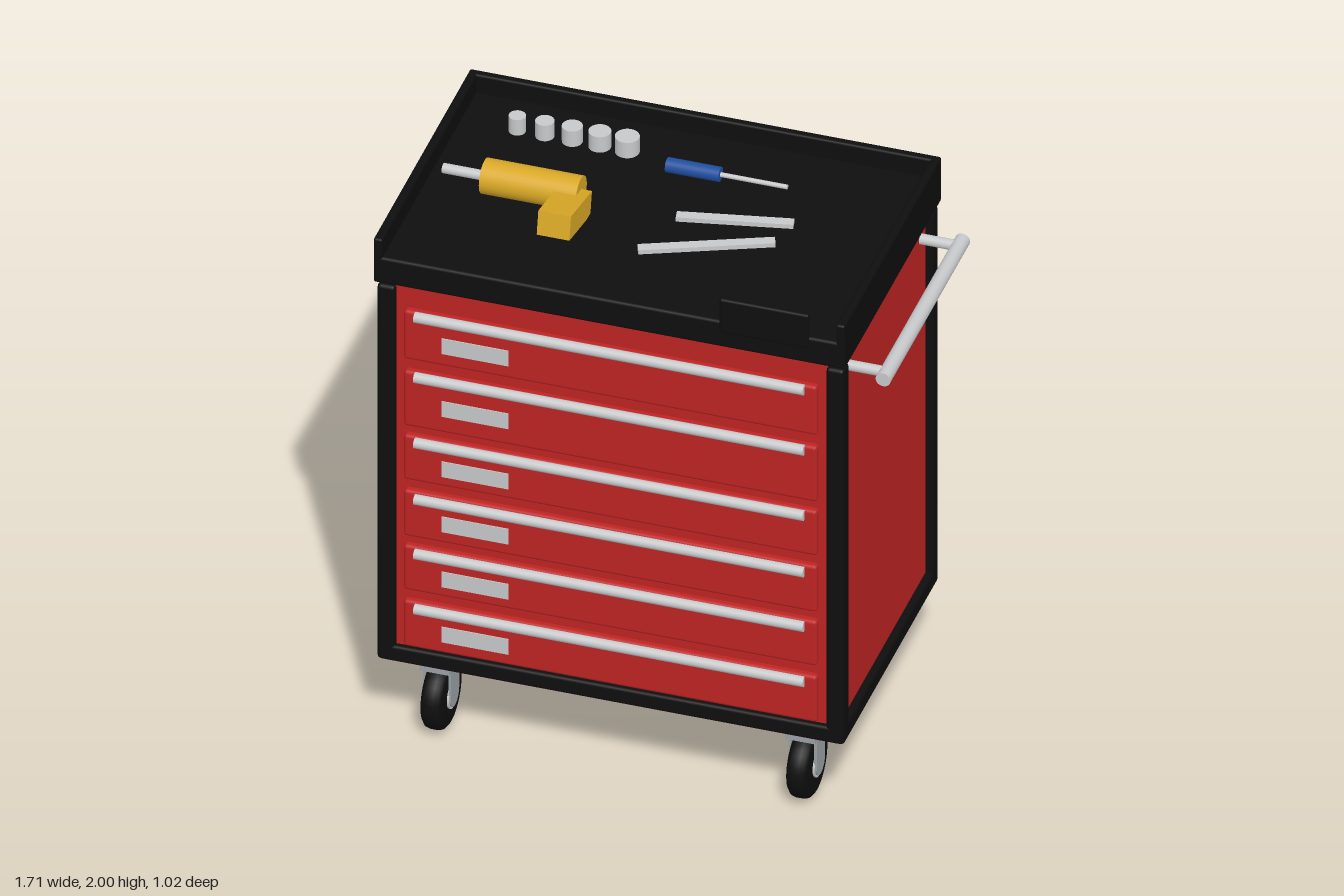
import * as THREE from 'three';
import { RoundedBoxGeometry } from 'three/addons/geometries/RoundedBoxGeometry.js';

const paint = (name, color) => {
  const m = new THREE.MeshStandardMaterial({ color });
  m.name = name;
  return m;
};

export function createModel() {
  const root = new THREE.Group();
  root.name = 'toolTrolley';
  const red = paint('red paint', 0xbd2323);
  const black = paint('black trim', 0x0e0e0e);
  const silver = paint('silver metal', 0xc6c8ca);
  const grey = paint('caster grey', 0x9aa1a5);
  const yellow = paint('drill yellow', 0xd9a826);
  const blue = paint('grip blue', 0x1f4f9e);

  const add = (name, geometry, material, x, y, z, parent = root) => {
    const mesh = new THREE.Mesh(geometry, material);
    mesh.name = name;
    mesh.position.set(x, y, z);
    parent.add(mesh);
    return mesh;
  };
  // Box given by its minimum and maximum corners, optionally rounded
  const span = (name, material, [x0, y0, z0], [x1, y1, z1], r = 0) => {
    const s = [x1 - x0, y1 - y0, z1 - z0];
    const g = r ? new RoundedBoxGeometry(...s, 2, r) : new THREE.BoxGeometry(...s);
    return add(name, g, material, (x0 + x1) / 2, (y0 + y1) / 2, (z0 + z1) / 2);
  };
  // Cylinder lying along x, y or z
  const rod = (name, material, axis, r, length, x, y, z, parent = root) => {
    const g = new THREE.CylinderGeometry(r, r, length, 28);
    if (axis === 'x') g.rotateZ(-Math.PI / 2);
    if (axis === 'z') g.rotateX(Math.PI / 2);
    return add(name, g, material, x, y, z, parent);
  };

  // Cabinet with corner posts and bottom rails
  span('cabinet', red, [-0.82, 0.3, -0.48], [0.7, 1.79, 0.465]);
  for (const x of [-0.845, 0.665]) {
    for (const z of [-0.495, 0.425]) {
      span('cornerPost', black, [x, 0.31, z], [x + 0.06, 1.77, z + 0.06], 0.012);
    }
    span('sideRail', black, [x, 0.31, -0.49], [x + 0.06, 0.37, 0.48], 0.01);
  }
  for (const z of [-0.495, 0.425]) {
    span('lowerRail', black, [-0.84, 0.31, z], [0.72, 0.37, z + 0.06], 0.01);
  }

  // Drawers: [bottom, top, pull height, label height]
  const drawers = [
    [1.5, 1.69, 1.675, 1.58], [1.24, 1.455, 1.44, 1.335], [1.03, 1.205, 1.185, 1.1],
    [0.81, 0.99, 0.965, 0.885], [0.6, 0.775, 0.752, 0.67], [0.38, 0.56, 0.537, 0.455],
  ];
  for (const [y0, y1, pullY, labelY] of drawers) {
    span('drawerFront', red, [-0.755, y0, 0.44], [0.635, y1, 0.488], 0.012);
    rod('drawerPull', silver, 'x', 0.018, 1.31, -0.06, pullY, 0.492);
    span('drawerLabel', silver, [-0.625, labelY - 0.03, 0.484], [-0.4, labelY + 0.03, 0.491]);
  }

  // Top tray, open at the front
  span('trayFloor', black, [-0.855, 1.78, -0.51], [0.73, 1.88, 0.49], 0.01);
  span('trayBackWall', black, [-0.855, 1.78, -0.51], [0.73, 1.95, -0.48], 0.008);
  span('trayRightWall', black, [-0.855, 1.78, -0.51], [-0.825, 1.95, 0.49], 0.008);
  span('trayLeftWall', black, [0.7, 1.78, -0.51], [0.73, 1.95, 0.49], 0.008);
  span('trayFrontPlate', black, [0.31, 1.84, 0.475], [0.61, 1.97, 0.496], 0.008);

  // Push handle
  rod('pushBar', silver, 'z', 0.025, 0.82, 0.83, 1.705, -0.01);
  for (const z of [-0.385, 0.355]) rod('pushBarBracket', silver, 'x', 0.018, 0.13, 0.755, 1.705, z);

  // Casters
  const tyre = [[0.045, -0.035], [0.105, -0.035], [0.118, -0.025], [0.122, -0.01],
    [0.122, 0.01], [0.118, 0.025], [0.105, 0.035], [0.045, 0.035]];
  const tyreGeometry = new THREE.LatheGeometry(tyre.map(p => new THREE.Vector2(...p)), 36);
  tyreGeometry.rotateZ(Math.PI / 2);
  for (const cx of [-0.675, 0.555]) {
    for (const cz of [-0.355, 0.343]) {
      const caster = new THREE.Group();
      caster.name = 'caster';
      caster.position.set(cx, 0, cz);
      root.add(caster);
      add('tyre', tyreGeometry, black, 0, 0.122, 0, caster);
      rod('hub', silver, 'x', 0.048, 0.084, 0, 0.122, 0, caster);
      add('mount', new THREE.BoxGeometry(0.1, 0.06, 0.14), grey, 0, 0.272, 0, caster);
      for (const s of [-1, 1]) {
        add('forkArm', new THREE.BoxGeometry(0.009, 0.13, 0.085), grey, s * 0.043, 0.19, 0, caster);
        rod('forkEnd', grey, 'x', 0.0425, 0.009, s * 0.043, 0.125, 0, caster);
      }
    }
  }

  // Power drill lying on the tray
  rod('drillBody', yellow, 'x', 0.059, 0.325, -0.468, 1.94, 0.032);
  rod('drillBit', silver, 'x', 0.017, 0.15, -0.695, 1.938, 0.03);
  const grip = add('drillGrip', new THREE.BoxGeometry(0.11, 0.085, 0.22), yellow, -0.325, 1.936, 0.145);
  grip.rotation.x = -0.2;

  // Screwdriver
  rod('screwdriverGrip', blue, 'x', 0.025, 0.18, -0.02, 1.905, -0.255);
  rod('screwdriverShaft', silver, 'x', 0.008, 0.23, 0.18, 1.905, -0.255);

  // Flat wrenches between two points on the tray
  for (const [x0, z0, x1, z1] of [[-0.06, 0.2, 0.345, 0.025], [0, -0.013, 0.37, -0.09]]) {
    const g = new THREE.BoxGeometry(Math.hypot(x1 - x0, z1 - z0), 0.02, 0.036);
    const wrench = add('wrench', g, silver, (x0 + x1) / 2, 1.886, (z0 + z1) / 2);
    wrench.rotation.y = -Math.atan2(z1 - z0, x1 - x0);
  }

  // Row of sockets growing in size
  for (let i = 0; i < 5; i++) {
    rod('socket', silver, 'y', 0.028 + i * 0.003, 0.06, -0.635 + i * 0.0925, 1.91, -0.32);
  }
  return root;
}
